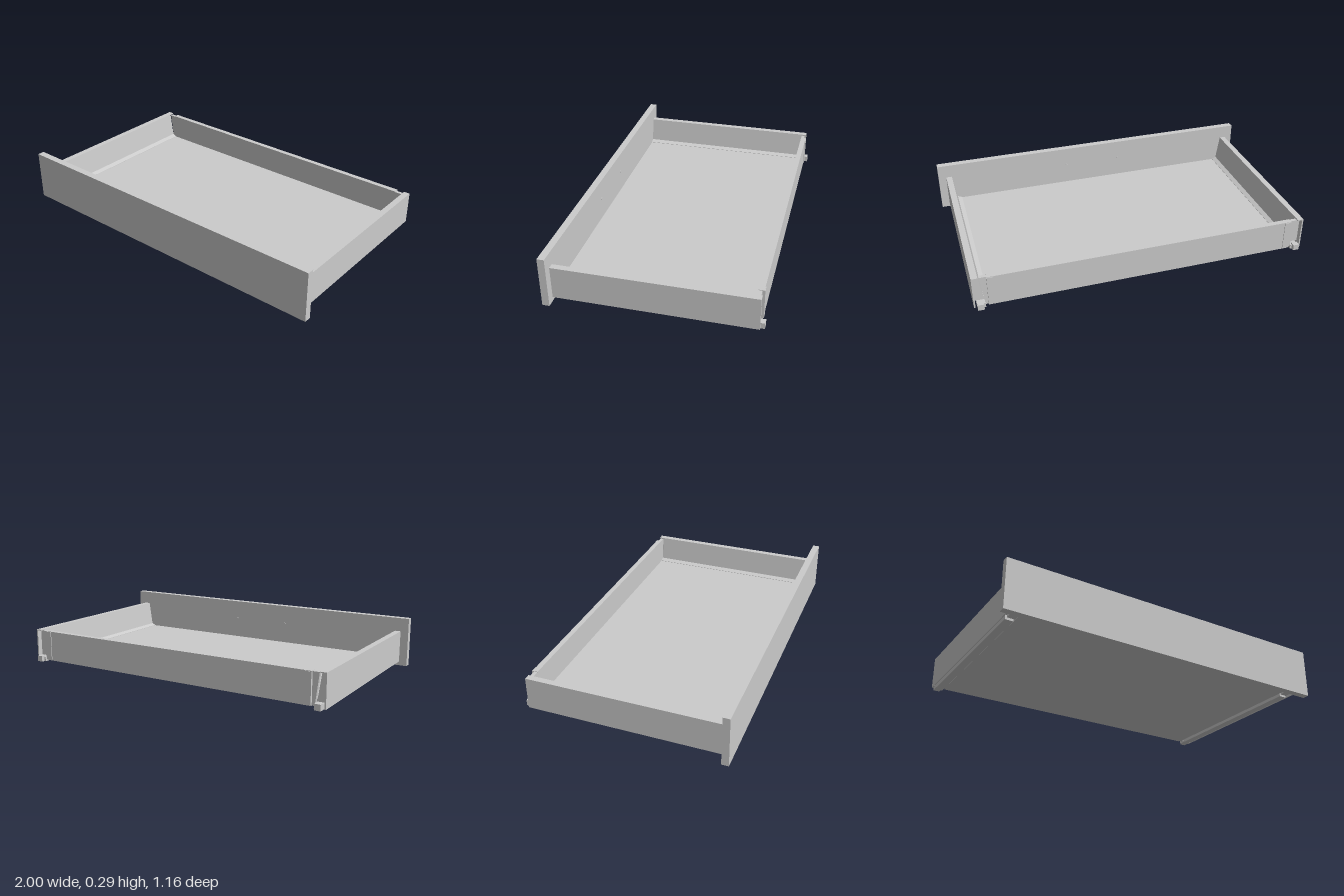
import * as THREE from 'three';

const material = new THREE.MeshStandardMaterial({ color: 0xcccccc, flatShading: true });

// Box given by its minimum and maximum corners
function box(name, [x0, y0, z0], [x1, y1, z1]) {
  const mesh = new THREE.Mesh(new THREE.BoxGeometry(x1 - x0, y1 - y0, z1 - z0), material);
  mesh.name = name;
  mesh.position.set((x0 + x1) / 2, (y0 + y1) / 2, (z0 + z1) / 2);
  return mesh;
}

// Box on either side of the drawer, s = 1 for left and -1 for right
function sideBox(name, s, [x0, y0, z0], [x1, y1, z1]) {
  return s > 0
    ? box(name, [x0, y0, z0], [x1, y1, z1])
    : box(name, [-x1, y0, z0], [-x0, y1, z1]);
}

// Cross-section (x, y) extruded from z0 to z1
function profile(name, s, points, z0, z1) {
  const shape = new THREE.Shape(points.map(([x, y]) => new THREE.Vector2(s * x, y)));
  const geometry = new THREE.ExtrudeGeometry(shape, { depth: z1 - z0, bevelEnabled: false });
  const mesh = new THREE.Mesh(geometry, material);
  mesh.name = name;
  mesh.position.z = z0;
  return mesh;
}

function createSide(s) {
  const side = new THREE.Group();
  side.name = s > 0 ? 'leftSide' : 'rightSide';

  // Slanted inner wall with a sloped foot and a channel underneath for the runner
  side.add(profile('sideWall', s, [
    [0.953, 0.023], [0.953, 0.21], [0.918, 0.21], [0.896, 0.063], [0.87, 0.052],
    [0.87, 0.03], [0.88, 0.03], [0.88, 0.049], [0.948, 0.049], [0.948, 0.023],
  ], -0.53, 0.54));

  // Outer skin and top edge running on past the inner wall
  side.add(profile('sideWallEnd', s, [
    [0.953, 0.023], [0.953, 0.21], [0.918, 0.21], [0.918, 0.204], [0.945, 0.204], [0.945, 0.023],
  ], -0.558, -0.53));

  // Runner, its rear hook and the front catch
  side.add(sideBox('runner', s, [0.89, 0.018, -0.56], [0.936, 0.044, 0.455]));
  side.add(sideBox('rearHook', s, [0.9, 0.018, -0.58], [0.935, 0.052, -0.55]));
  side.add(sideBox('frontCatch', s, [0.886, 0.025, 0.465], [0.93, 0.049, 0.54]));

  // Tapered bracket joining the side to the back panel
  side.add(profile('rearBracket', s, [
    [0.87, 0.03], [0.89, 0.03], [0.912, 0.205], [0.87, 0.205],
  ], -0.55, -0.53));
  side.add(sideBox('bracketFlange', s, [0.835, 0.035, -0.564], [0.874, 0.205, -0.558]));
  return side;
}

export function createModel() {
  const model = new THREE.Group();
  model.name = 'drawer';

  model.add(box('frontPanel', [-1, 0, 0.54], [1, 0.29, 0.58]));
  model.add(box('floor', [-0.872, 0.03, -0.55], [0.872, 0.05, 0.54]));
  model.add(box('backPanel', [-0.874, 0.03, -0.56], [0.874, 0.208, -0.53]));

  for (const s of [1, -1]) {
    model.add(createSide(s));

    // Handle screw head on the inner face of the front panel
    const screw = new THREE.Mesh(new THREE.CylinderGeometry(0.007, 0.007, 0.006, 12), material);
    screw.name = 'handleScrew';
    screw.rotation.x = Math.PI / 2;
    screw.position.set(s * 0.177, 0.175, 0.538);
    model.add(screw);
  }
  return model;
}
